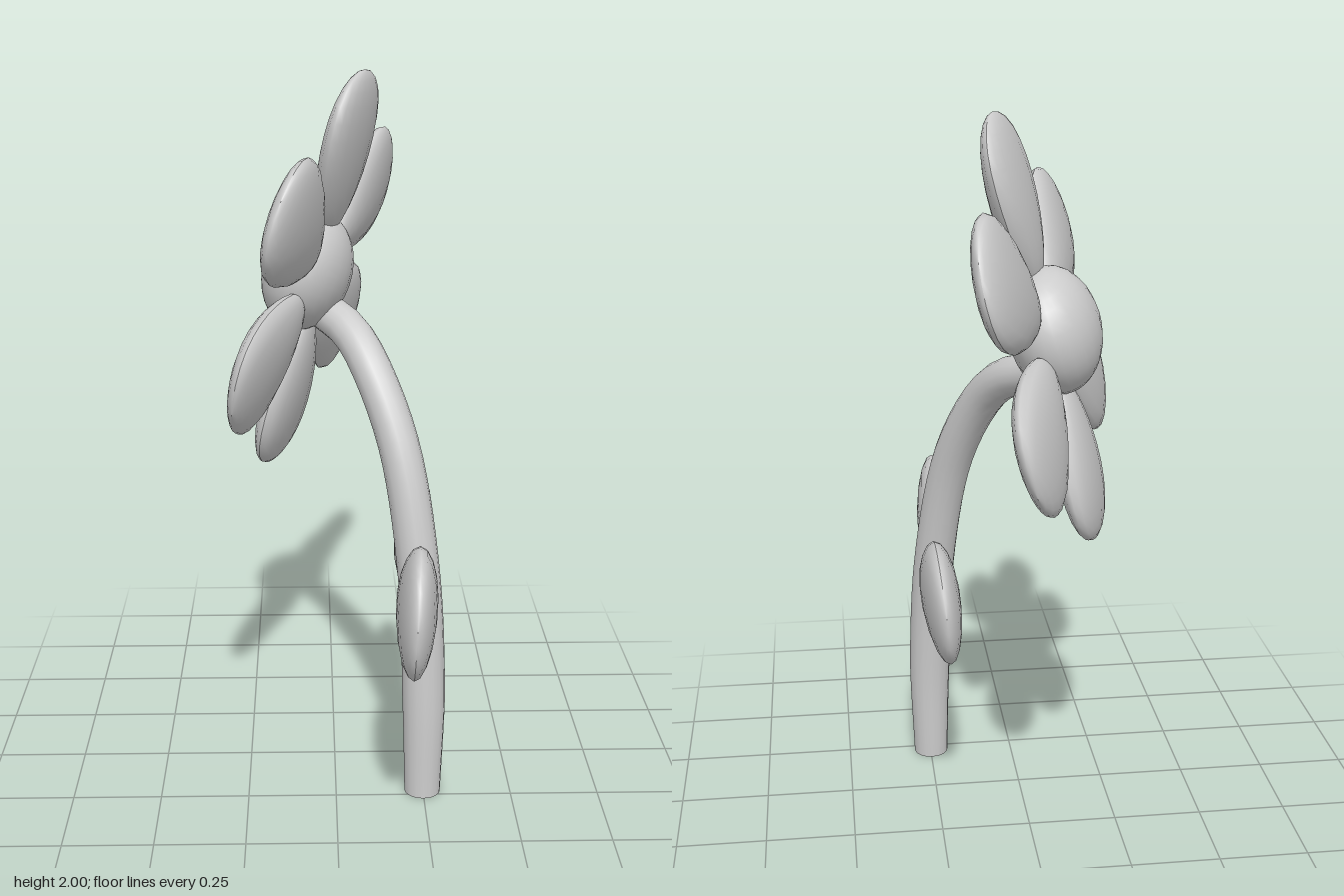
import * as THREE from 'three';

const V = (x, y, z) => new THREE.Vector3(x, y, z);
const material = new THREE.MeshStandardMaterial({ color: 0xcccccc });

function addMesh(parent, name, geometry) {
  const mesh = new THREE.Mesh(geometry, material);
  mesh.name = name;
  parent.add(mesh);
  return mesh;
}

// Egg-shaped blade: base at the origin, growing along +y, flat along z
function bladeGeometry(length) {
  const geometry = new THREE.SphereGeometry(1, 18, 14);
  const pos = geometry.attributes.position;
  for (let i = 0; i < pos.count; i++) {
    const y = pos.getY(i);
    const widen = (0.82 + 0.36 * y) / 0.885;
    pos.setXYZ(i, pos.getX(i) * 0.172 * widen, (y + 1) * length / 2, pos.getZ(i) * 0.055);
  }
  geometry.computeVertexNormals();
  return geometry;
}

// Place a blade from its base to its tip, with its flat side facing the normal
function addBlade(parent, name, base, tip, normal) {
  const along = tip.clone().sub(base);
  const mesh = addMesh(parent, name, bladeGeometry(along.length()));
  along.normalize();
  const side = along.clone().cross(normal).normalize();
  const face = side.clone().cross(along);
  mesh.quaternion.setFromRotationMatrix(new THREE.Matrix4().makeBasis(side, along, face));
  mesh.position.copy(base);
}

// Bent stem, slightly narrower at the foot, closed at both ends
function stemGeometry() {
  const path = new THREE.CatmullRomCurve3([
    V(0.248, 0, 0.225), V(0.248, 0.3, 0.217), V(0.232, 0.65, 0.185), V(0.178, 1, 0.11),
    V(0.103, 1.2, 0.01), V(0.045, 1.285, -0.08), V(-0.03, 1.325, -0.18)
  ]);
  const rings = 28, sides = 16;
  const geometry = new THREE.TubeGeometry(path, rings, 1, sides, false);
  const pos = geometry.attributes.position;
  const p = V(0, 0, 0);
  for (let i = 0; i < pos.count; i++) {
    const t = Math.floor(i / (sides + 1)) / rings;
    const centre = path.getPointAt(t);
    const radius = t < 0.2 ? 0.051 + 0.05 * t : 0.061 - 0.008 * (t - 0.2);
    p.fromBufferAttribute(pos, i).sub(centre).multiplyScalar(radius).add(centre);
    pos.setXYZ(i, p.x, Math.max(0, p.y), p.z);
  }
  return geometry;
}

export function createModel() {
  const flower = new THREE.Group();
  flower.name = 'flower';

  // Stem with its flat foot
  addMesh(flower, 'stem', stemGeometry());
  const foot = addMesh(flower, 'stemFoot', new THREE.CircleGeometry(0.051, 16));
  foot.rotation.x = Math.PI / 2;
  foot.position.set(0.248, 0.001, 0.225);

  // Two leaves on opposite sides of the stem
  addBlade(flower, 'frontLeaf', V(0.222, 0.65, 0.215), V(0.195, 0.71, 0.685), V(1, -0.05, 0));
  addBlade(flower, 'backLeaf', V(0.235, 0.63, 0.14), V(0.235, 0.685, -0.32), V(1, -0.1, 0));

  // Flower head axes: facing direction, first petal, sideways
  const facing = V(-0.92, 0.24, -0.3).normalize();
  const up = V(0.244, 0.967, 0.07);
  up.addScaledVector(facing, -up.dot(facing)).normalize();
  const across = facing.clone().cross(up).negate();
  if (across.z > 0) across.negate();
  const hub = V(-0.05, 1.433, -0.17);

  // Ring of six petals
  for (let i = 0; i < 6; i++) {
    const angle = i * Math.PI / 3;
    const dir = up.clone().multiplyScalar(Math.cos(angle)).addScaledVector(across, Math.sin(angle));
    addBlade(flower, 'petal' + (i + 1),
      hub.clone().addScaledVector(dir, 0.115), hub.clone().addScaledVector(dir, 0.586), facing);
  }

  // Flattened round centre
  const centre = addMesh(flower, 'flowerCentre', new THREE.SphereGeometry(0.172, 24, 16));
  centre.scale.set(1, 1, 0.72);
  centre.quaternion.setFromUnitVectors(V(0, 0, 1), facing);
  centre.position.copy(hub).addScaledVector(facing, 0.025);

  return flower;
}
